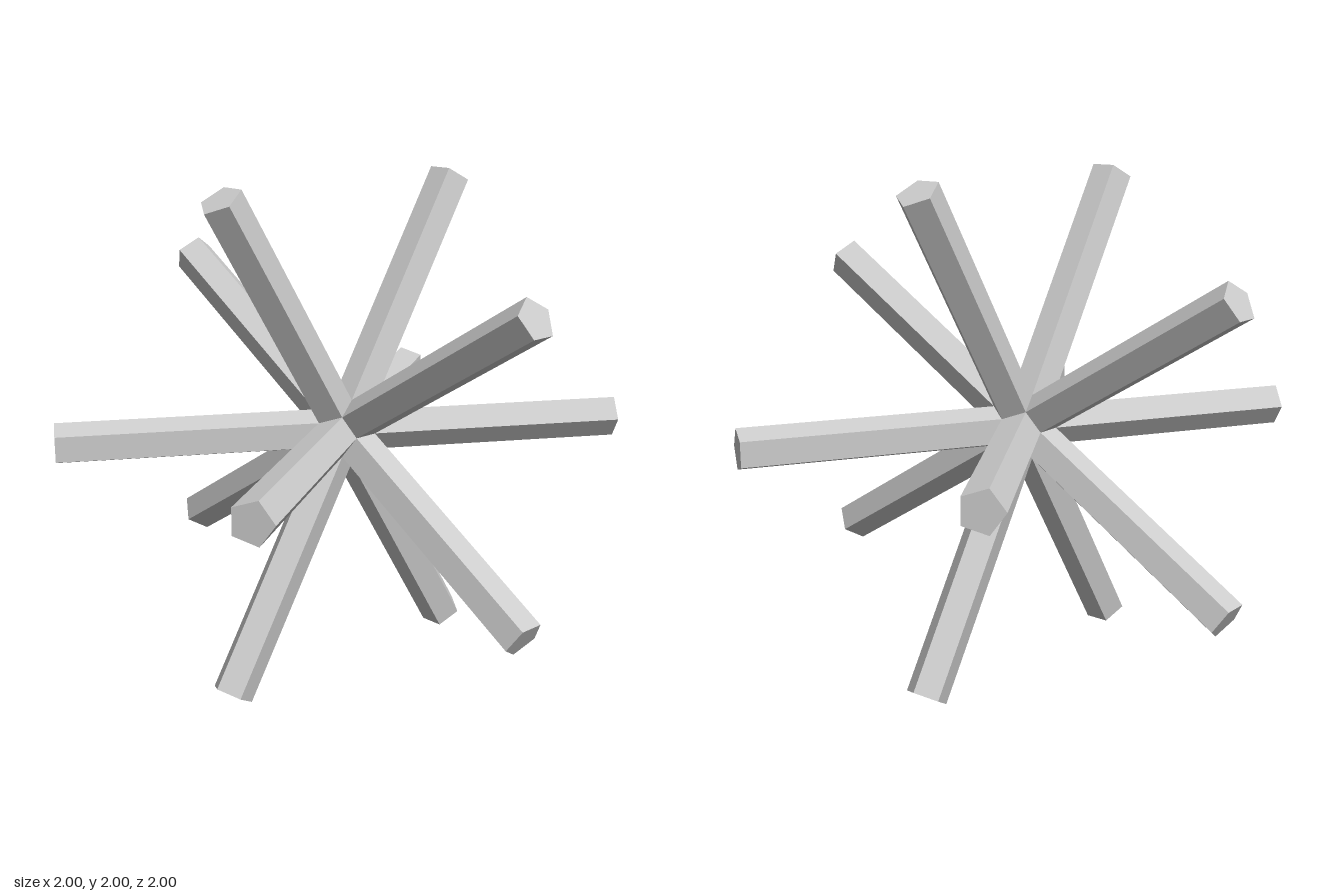
import * as THREE from 'three';

export function createModel() {
  const model = new THREE.Group();
  const material = new THREE.MeshStandardMaterial({ color: 0xcccccc, flatShading: true });

  // One five-sided bar, from the centre outwards along +y, with an edge towards +z
  const length = 1.133;
  const bar = new THREE.CylinderGeometry(0.085, 0.085, length, 5);
  bar.translate(0, length / 2, 0);

  const burst = new THREE.Group();
  burst.name = 'starburst';
  burst.position.y = 1;
  model.add(burst);

  // Twelve arms towards the corners of an icosahedron, four in each axis plane
  const phi = (1 + Math.sqrt(5)) / 2;
  const cycle = (a, b, turn) => {
    const v = [0, 0, 0];
    v[turn] = a;
    v[(turn + 1) % 3] = b;
    return new THREE.Vector3(...v).normalize();
  };
  for (let turn = 0; turn < 3; turn++) {
    for (const s of [1, -1]) {
      for (const t of [1, -1]) {
        const along = cycle(s, t * phi, turn);
        const edge = cycle(s * phi, -t, turn); // sharp edge points away from the paired arm
        const side = new THREE.Vector3().crossVectors(along, edge);
        const arm = new THREE.Mesh(bar, material);
        arm.name = 'arm';
        arm.quaternion.setFromRotationMatrix(new THREE.Matrix4().makeBasis(side, along, edge));
        burst.add(arm);
      }
    }
  }
  return model;
}
